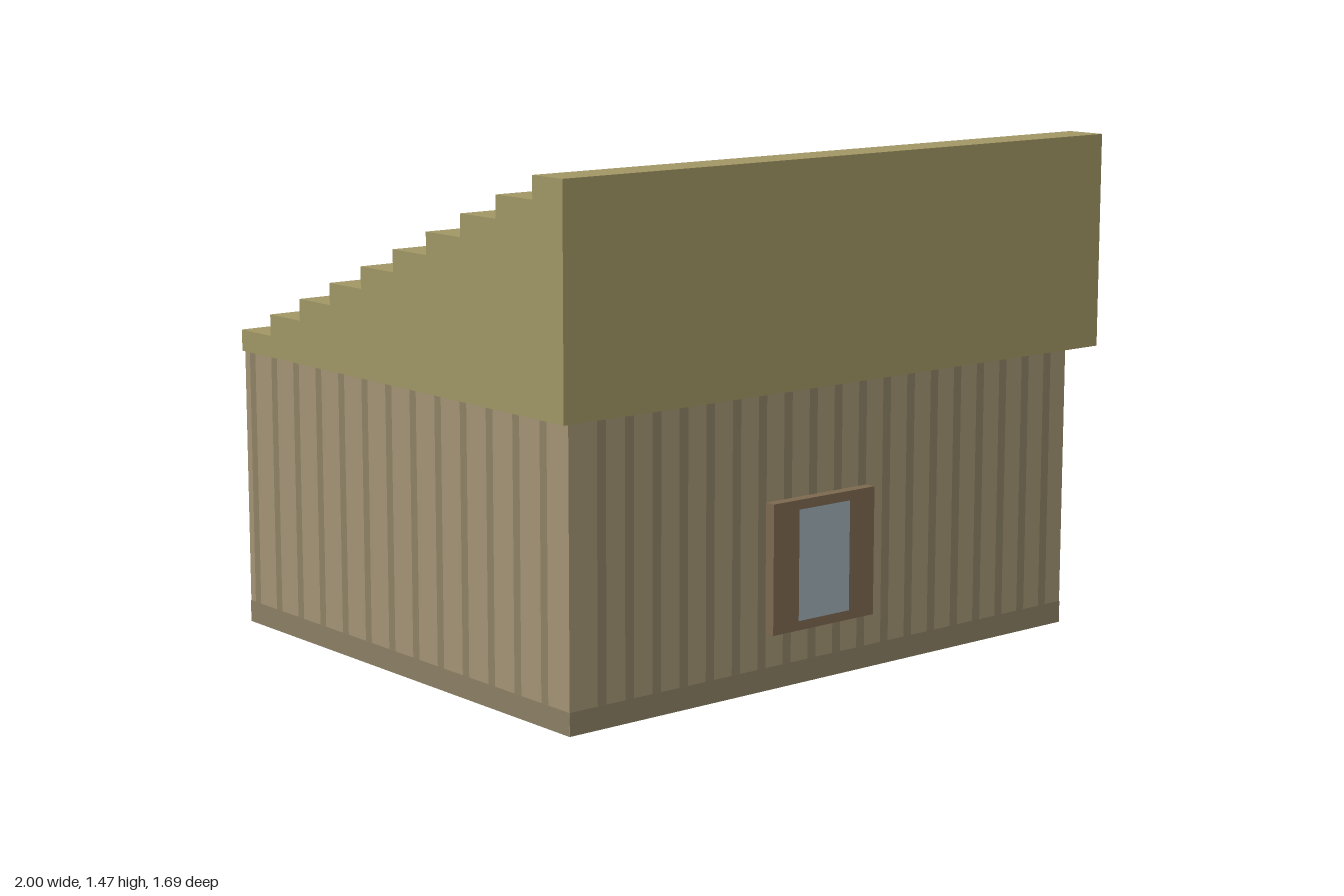
import * as THREE from 'three';

const material = (color) => new THREE.MeshStandardMaterial({ color });
const wallMat = material(0xa39475);
const grooveMat = material(0x8e8265);
const baseMat = material(0x8c8064);
const roofMat = material(0xa0976a);
const darkWood = material(0x7c6850);
const doorWood = material(0x8a705a);
const glassMat = material(0x9eacb4);
roofMat.color.set(0xa09664);

const HALF_W = 0.935, HALF_D = 0.78, WALL_H = 0.842, BASE_H = 0.065;

function add(parent, name, geometry, mat) {
  const mesh = new THREE.Mesh(geometry, mat);
  mesh.name = name;
  parent.add(mesh);
  return mesh;
}

// Box given by its minimum and maximum corners
function box(parent, name, [x0, y0, z0], [x1, y1, z1], mat) {
  const mesh = add(parent, name, new THREE.BoxGeometry(x1 - x0, y1 - y0, z1 - z0), mat);
  mesh.position.set((x0 + x1) / 2, (y0 + y1) / 2, (z0 + z1) / 2);
  return mesh;
}

// Flat painted rectangle facing +z
function panel(parent, name, x0, y0, x1, y1, z, mat) {
  const mesh = add(parent, name, new THREE.PlaneGeometry(x1 - x0, y1 - y0), mat);
  mesh.position.set((x0 + x1) / 2, (y0 + y1) / 2, z);
  return mesh;
}

// Dark plank lines and base band for one wall
function wallPattern(name, angle, halfWidth, distance, first, pitch, count) {
  const wall = new THREE.Group();
  wall.name = name;
  const z = distance + 0.0015;
  panel(wall, 'baseBand', -halfWidth, 0, halfWidth, BASE_H, z, baseMat);
  for (let i = 0; i < count; i++) {
    const x = first + i * pitch;
    panel(wall, 'plankLine', x, BASE_H, x + 0.03, WALL_H, z, grooveMat);
  }
  wall.rotation.y = angle;
  return wall;
}

export function createModel() {
  const model = new THREE.Group();
  model.name = 'shed';

  // Walls
  box(model, 'walls', [-HALF_W, 0, -HALF_D], [HALF_W, WALL_H, HALF_D], wallMat);
  for (const [name, angle] of [['frontWall', 0], ['backWall', Math.PI]]) {
    model.add(wallPattern(name, angle, HALF_W, HALF_D, -0.8425, 0.0935, 19));
  }
  for (const [name, angle] of [['leftWall', Math.PI / 2], ['rightWall', -Math.PI / 2]]) {
    model.add(wallPattern(name, angle, HALF_D, HALF_W, -0.752, 0.1177, 13));
  }

  // Short marks along the exposed back ledge
  for (let i = 0; i < 10; i++) {
    const mark = add(model, 'ledgeMark', new THREE.PlaneGeometry(0.03, 0.025), grooveMat);
    mark.rotation.x = -Math.PI / 2;
    mark.position.set(-0.84 + i * 0.187, WALL_H + 0.001, -HALF_D + 0.0125);
  }

  // Stepped roof: side outline (z, y) extruded across the width
  const steps = 10, tread = 0.1567, rise = 0.0628, bottom = 0.845, back = -0.69, front = 0.845;
  const outline = new THREE.Shape();
  outline.moveTo(front, bottom);
  for (let i = steps; i > 0; i--) {
    const y = bottom + i * rise;
    outline.lineTo(i === steps ? front : back + i * tread, y);
    outline.lineTo(back + (i - 1) * tread, y);
  }
  outline.lineTo(back, bottom);
  outline.closePath();
  const roof = new THREE.ExtrudeGeometry(outline, { depth: 2, bevelEnabled: false });
  roof.rotateY(-Math.PI / 2).translate(1, 0, 0);
  add(model, 'roof', roof, roofMat);

  // Window
  box(model, 'windowFrame', [-0.253, 0.163, HALF_D], [0.125, 0.532, 0.814], darkWood);
  panel(model, 'windowPane', -0.16, 0.19, 0.03, 0.505, 0.8155, glassMat);

  // Door with a wider outer slab
  box(model, 'doorFrame', [-0.127, 0, -0.816], [0.127, 0.565, -HALF_D], doorWood);
  box(model, 'doorSlab', [-0.154, 0, -0.845], [0.154, 0.597, -0.816], darkWood);

  return model;
}
